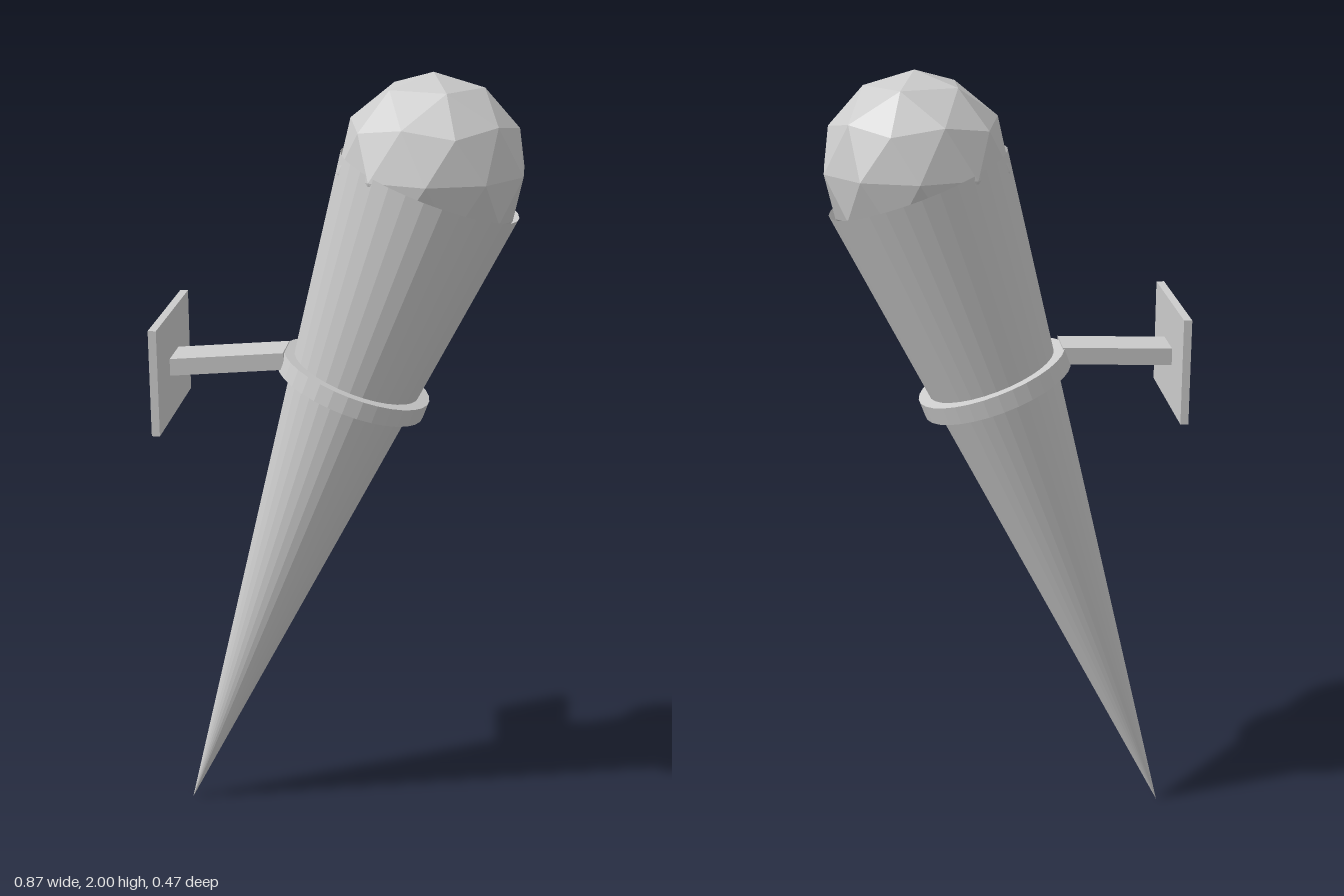
import * as THREE from 'three';

export function createModel() {
  const model = new THREE.Group();
  model.name = 'wallTorch';
  const grey = new THREE.MeshStandardMaterial({ color: 0xcccccc, flatShading: true });
  const greyThin = grey.clone();
  greyThin.side = THREE.DoubleSide;

  const add = (parent, name, geometry, material = grey) => {
    const mesh = new THREE.Mesh(geometry, material);
    mesh.name = name;
    parent.add(mesh);
    return mesh;
  };

  // Leaning torch, built upright from its tip
  const torch = new THREE.Group();
  torch.name = 'torch';
  torch.position.set(-0.42, 0, -0.005);
  torch.rotation.z = -THREE.MathUtils.degToRad(20);
  model.add(torch);

  // Open hollow cone
  const length = 1.847;
  const cone = new THREE.CylinderGeometry(0.23, 0, length, 32, 1, true);
  cone.translate(0, length / 2, 0);
  add(torch, 'coneShell', cone, greyThin);

  // Flat band holding the cone
  const band = [[0.158, 1.287], [0.195, 1.287], [0.195, 1.333], [0.158, 1.333], [0.158, 1.287]];
  add(torch, 'holderRing', new THREE.LatheGeometry(band.map(([r, y]) => new THREE.Vector2(r, y)), 32));

  // Faceted globe, turned so one corner points straight up
  const globe = new THREE.IcosahedronGeometry(0.231, 1);
  globe.rotateZ(-Math.atan(2 / (1 + Math.sqrt(5))));
  add(model, 'globe', globe).position.set(0.215, 1.769, -0.005);

  // Wall plate
  add(model, 'wallPlate', new THREE.BoxGeometry(0.02, 0.265, 0.39)).position.set(-0.43, 1.283, 0.04);

  // Arm, sheared slightly up and back towards the ring
  const arm = new THREE.BoxGeometry(0.28, 0.043, 0.11);
  const p = arm.attributes.position;
  for (let i = 0; i < p.count; i++) {
    const t = p.getX(i) / 0.28 + 0.5;
    p.setY(i, p.getY(i) + 0.017 * t);
    p.setZ(i, p.getZ(i) - 0.026 * t);
  }
  arm.computeVertexNormals();
  add(model, 'arm', arm).position.set(-0.28, 1.283, 0.04);

  return model;
}
